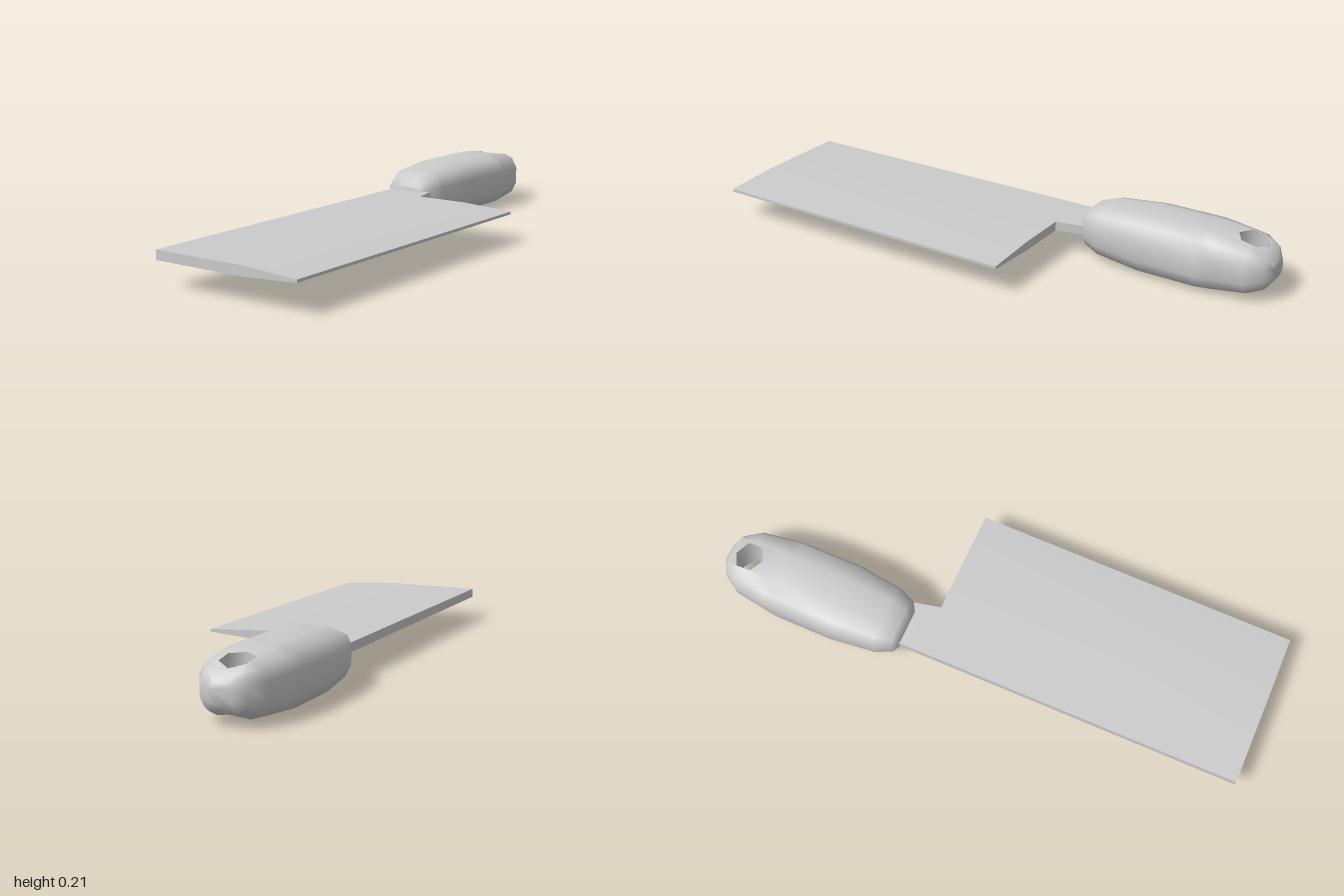
import * as THREE from 'three';
import { toCreasedNormals } from 'three/addons/utils/BufferGeometryUtils.js';

const material = new THREE.MeshStandardMaterial({ color: 0xcccccc });
const MID_Y = 0.108, MID_Z = -0.187;

// Skins rings of [x, y, z] points that run along +x; skip(i, j) leaves a quad out.
function loft(rings, { startCap = true, endCap = true, skip = () => false } = {}) {
  const n = rings[0].length, points = rings.flat(), index = [];
  for (let i = 0; i < rings.length - 1; i++) {
    for (let j = 0; j < n; j++) {
      if (skip(i, j)) continue;
      const k = (j + 1) % n, a = i * n, b = a + n;
      index.push(a + j, b + j, a + k, a + k, b + j, b + k);
    }
  }
  const end = (rings.length - 1) * n;
  for (let j = 1; j < n - 1; j++) {
    if (startCap) index.push(0, j, j + 1);
    if (endCap) index.push(end, end + j + 1, end + j);
  }
  return { points, index };
}

function makeMesh(name, { points, index }, crease) {
  const geometry = new THREE.BufferGeometry();
  geometry.setAttribute('position', new THREE.Float32BufferAttribute(points.flat(), 3));
  geometry.setIndex(index);
  geometry.computeVertexNormals();
  const mesh = new THREE.Mesh(crease ? toCreasedNormals(geometry, crease) : geometry, material);
  mesh.name = name;
  return mesh;
}

// Flat section at x, from rows of [z, half thickness] ordered spine to edge.
function bladeSection(x, rows) {
  const upper = [...rows].reverse().map(([z, t]) => [x, MID_Y + t, z]);
  const lower = rows.map(([z, t]) => [x, MID_Y - t, z]);
  return [...upper, ...lower];
}

// Handle stations: x, half width, half height, half width of the flat top
const STATIONS = [
  [0.28, 0.065, 0.04, 0.025],
  [0.30, 0.095, 0.07, 0.036],
  [0.36, 0.12, 0.09, 0.046],
  [0.53, 0.139, 0.106, 0.053],
  [0.75, 0.139, 0.106, 0.053],
  [0.80, 0.133, 0.102, 0.056],
  [0.92, 0.116, 0.088, 0.056],
  [0.975, 0.082, 0.062, 0.05],
  [0.998, 0.042, 0.032, 0.02],
];
const HOLE_START = 5; // the hole lies between this station and the second one after it

function handleRing([x, hz, hy, flat]) {
  const quarter = [[hz, 0.37 * hy], [0.82 * hz, 0.81 * hy], [flat, hy]];
  const top = [...quarter, ...[...quarter].reverse().map(([z, y]) => [-z, y])];
  const loop = [...top, ...top.map(([z, y]) => [-z, -y])];
  return loop.map(([z, y]) => [x, MID_Y - 0.002 + y, MID_Z + z]);
}

function heightAt(x) {
  const i = STATIONS.findIndex((s) => s[0] > x);
  const [a, b] = [STATIONS[i - 1], STATIONS[i]];
  return THREE.MathUtils.mapLinear(x, a[0], b[0], a[2], b[2]);
}

function createHandle() {
  const group = new THREE.Group();
  group.name = 'handle';
  const body = loft(STATIONS.map(handleRing), {
    skip: (i, j) => (j === 2 || j === 8) && i >= HOLE_START && i < HOLE_START + 2,
  });

  // Six-sided rim of the hanging hole, on the top (+1) or underside (-1)
  const rim = (side) => Array.from({ length: 6 }, (_, k) => {
    const a = (k * Math.PI) / 3;
    const x = 0.904 + 0.056 * Math.cos(a);
    return [x, MID_Y - 0.002 + side * heightAt(x), MID_Z - 0.006 + 0.056 * Math.sin(a)];
  });

  // Fill the surface around the hole on both sides
  for (const side of [1, -1]) {
    const [j0, j1] = side > 0 ? [2, 3] : [8, 9];
    const rows = [0, 1, 2].map((i) => (HOLE_START + i) * 12);
    const ids = [...rows.map((r) => r + j0), ...rows.reverse().map((r) => r + j1)];
    const flat = ([x, , z]) => new THREE.Vector2(x, z);
    const contour = ids.map((id) => flat(body.points[id]));
    const hole = rim(side);
    for (const p of hole) {
      ids.push(body.points.length);
      body.points.push(p);
    }
    for (const face of THREE.ShapeUtils.triangulateShape(contour, [hole.map(flat)])) {
      const [a, b, c] = face.map((f) => ids[f]);
      const [p, q, r] = [a, b, c].map((id) => flat(body.points[id]));
      const up = q.sub(p).cross(r.sub(p)) < 0;
      body.index.push(...(up === side > 0 ? [a, b, c] : [a, c, b]));
    }
  }
  group.add(makeMesh('grip', body));

  // Wall of the hole, facing inward
  const wall = { points: [...rim(1), ...rim(-1)], index: [] };
  for (let k = 0; k < 6; k++) {
    const n = (k + 1) % 6;
    wall.index.push(k, n, k + 6, n, n + 6, k + 6);
  }
  const wallMesh = makeMesh('hangingHole', wall);
  wallMesh.material = material.clone();
  wallMesh.material.side = THREE.DoubleSide;
  group.add(wallMesh);
  return group;
}

export function createModel() {
  const model = new THREE.Group();
  model.name = 'cleaver';

  // Broad blade, thinning toward the cutting edge
  const rows = (spine) => [[spine, 0.017], [-0.07, 0.017], [0.12, 0.017], [0.325, 0.005]];
  const blade = loft([bladeSection(-1, rows(-0.245)), bladeSection(0.2, rows(-0.254))]);
  model.add(makeMesh('blade', blade, 0.6));

  // Neck running from the blade into the handle
  const neck = loft([
    bladeSection(0.2, [[-0.254, 0.017], [-0.07, 0.017]]),
    bladeSection(0.31, [[-0.255, 0.017], [-0.095, 0.017]]),
  ], { startCap: false });
  model.add(makeMesh('neck', neck, 0.6));

  model.add(createHandle());
  return model;
}
